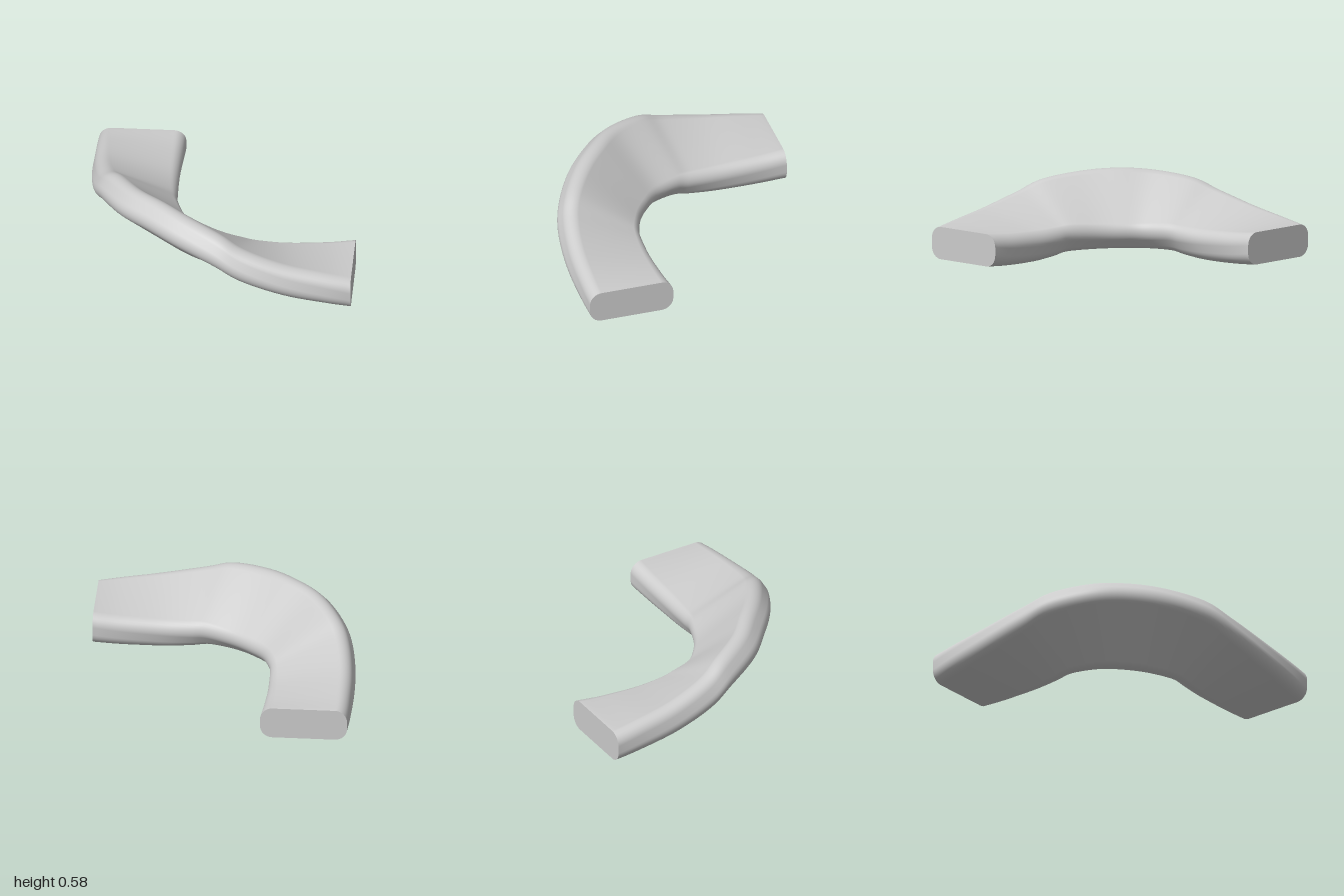
import * as THREE from 'three';

// Half of the centre line: x, z, height, bank angle, heading (degrees)
const HALF = [
  [1.0, 0.63, 0.15, 0, 0],
  [0.8, 0.643, 0.156, 6.5, -2],
  [0.5, 0.65, 0.178, 15, -1],
  [0.236, 0.632, 0.226, 25, 10],
  [0.07, 0.592, 0.275, 34, 19],
  [-0.16, 0.48, 0.299, 42, 33],
];
const APEX = [-0.344, 0.342, 0.307, 45, 45];

// Rounded rectangle, counter-clockwise
function roundedProfile(w, h, r, seg) {
  const pts = [];
  [[1, 1], [-1, 1], [-1, -1], [1, -1]].forEach(([sx, sy], q) => {
    for (let i = 0; i <= seg; i++) {
      const a = (q + i / seg) * Math.PI / 2;
      pts.push([sx * (w / 2 - r) + r * Math.cos(a), sy * (h / 2 - r) + r * Math.sin(a)]);
    }
  });
  return pts;
}

function bankedBendGeometry(steps) {
  // The second arm mirrors the first across the diagonal
  const mirrored = HALF.map(([x, z, y, b, h]) => [-z - 0.025, -x + 0.02, y, b, 90 - h]).reverse();
  const rows = [...HALF, APEX, ...mirrored];
  const curve = (f) => new THREE.CatmullRomCurve3(rows.map(f), false, 'catmullrom', 0.5);
  const centre = curve(([x, z, y]) => new THREE.Vector3(x, y, z));
  const angles = curve((r) => new THREE.Vector3(r[3], r[4], 0));
  const profile = roundedProfile(0.64, 0.24, 0.09, 8);
  const n = profile.length;

  // One banked section per step along the path
  const rings = [];
  for (let i = 0; i <= steps; i++) {
    const c = centre.getPoint(i / steps);
    const a = angles.getPoint(i / steps).multiplyScalar(Math.PI / 180);
    const out = new THREE.Vector3(-Math.sin(a.y), 0, Math.cos(a.y));
    const up = new THREE.Vector3(0, 1, 0);
    const side = out.clone().multiplyScalar(Math.cos(a.x)).addScaledVector(up, Math.sin(a.x));
    const top = up.multiplyScalar(Math.cos(a.x)).addScaledVector(out, -Math.sin(a.x));
    rings.push(profile.map(([u, v]) => c.clone().addScaledVector(side, u).addScaledVector(top, v)));
  }

  const pos = rings.flat();
  const index = [];
  for (let i = 0; i < steps; i++) {
    for (let j = 0; j < n; j++) {
      const k = (j + 1) % n;
      const a = i * n + j, b = i * n + k, c = a + n, d = b + n;
      index.push(a, b, d, a, d, c);
    }
  }
  // Flat end caps with their own vertices for a sharp rim
  [rings[0], rings[steps]].forEach((ring, end) => {
    const s = pos.length;
    pos.push(...ring);
    for (let j = 1; j < n - 1; j++) {
      if (end) index.push(s, s + j, s + j + 1);
      else index.push(s, s + j + 1, s + j);
    }
  });

  const geo = new THREE.BufferGeometry().setFromPoints(pos);
  geo.setIndex(index);
  geo.computeVertexNormals();
  return geo;
}

export function createModel() {
  const group = new THREE.Group();
  group.name = 'bankedCurve';
  const material = new THREE.MeshStandardMaterial({ color: 0xcccccc });
  const bend = new THREE.Mesh(bankedBendGeometry(72), material);
  bend.name = 'bankedBend';
  group.add(bend);
  return group;
}
